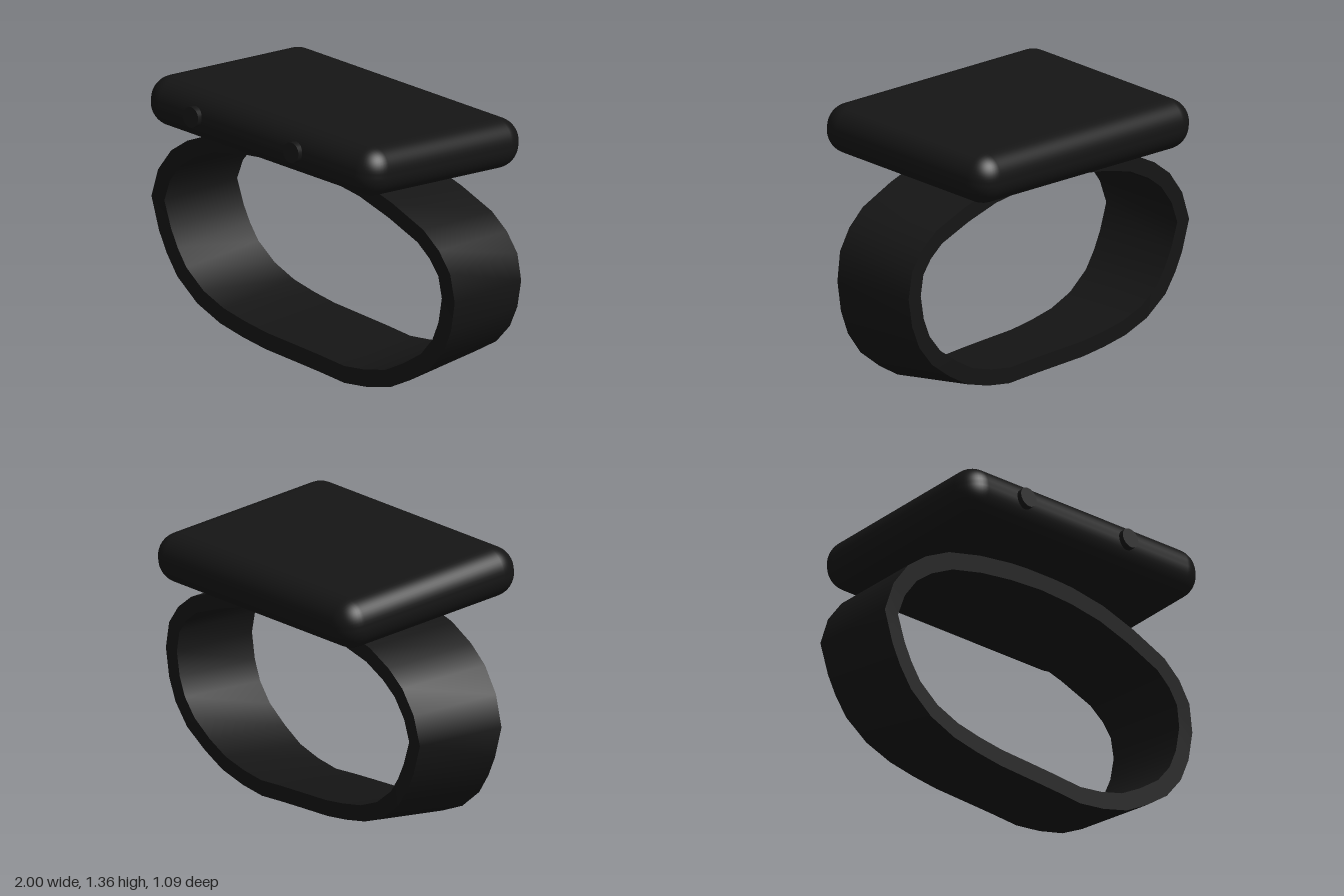
import * as THREE from 'three';
import { mergeGeometries } from 'three/addons/utils/BufferGeometryUtils.js';
import { RoundedBoxGeometry } from 'three/addons/geometries/RoundedBoxGeometry.js';

const material = new THREE.MeshStandardMaterial({ color: 0x151515 });

// Outer outline of the strap's front edge, clockwise from its right end
const OUTLINE = [
  [-1, 0.6], [-0.95, 0.75], [-0.86, 0.87], [-0.75, 0.95], [-0.6, 1.02], [-0.4, 1.065],
  [-0.2, 1.09], [0, 1.1], [0.2, 1.09], [0.4, 1.06], [0.6, 1.0], [0.8, 0.92],
  [0.9, 0.84], [0.97, 0.74], [0.995, 0.6], [0.97, 0.45], [0.92, 0.33], [0.83, 0.22],
  [0.7, 0.13], [0.57, 0.06], [0.42, 0.02], [0.27, 0.0], [0.1, 0.012], [-0.05, 0.02],
  [-0.25, 0.03], [-0.4, 0.05], [-0.55, 0.08], [-0.7, 0.14], [-0.83, 0.24], [-0.9, 0.34], [-0.95, 0.44],
];
const THICKNESS = 0.085;

// Closed ribbon of quads between two loops of equal length
function ribbon(a, b) {
  const n = a.length;
  const index = [];
  for (let i = 0; i < n; i++) {
    const j = (i + 1) % n;
    index.push(i, j, n + j, i, n + j, n + i);
  }
  const geometry = new THREE.BufferGeometry().setFromPoints([...a, ...b]);
  geometry.setIndex(index);
  geometry.computeVertexNormals();
  return geometry;
}

function createStrap() {
  const outer = OUTLINE.map(([x, y]) => new THREE.Vector2(x, y));
  const n = outer.length;
  // Inner loop: each point moved inward, square to its neighbours
  const inner = outer.map((p, i) => {
    const d = outer[(i + 1) % n].clone().sub(outer[(i + n - 1) % n]).normalize();
    return new THREE.Vector2(p.x + d.y * THICKNESS, p.y - d.x * THICKNESS);
  });
  // The back edge is slightly flatter and slanted compared with the front edge
  const front = (p) => new THREE.Vector3(p.x, p.y, 0.185 + 0.02 * Math.max(0, (p.y - 0.6) / 0.5));
  const back = (p) => new THREE.Vector3(
    p.x < 0 ? p.x * 0.975 : p.x,
    0.035 + p.y * 0.925,
    -0.272 + 0.01 * p.x + 0.015 * Math.max(0, 1 - p.y / 0.2),
  );
  const outerFront = outer.map(front), outerBack = outer.map(back);
  const innerFront = inner.map(front), innerBack = inner.map(back);
  const geometry = mergeGeometries([
    ribbon(outerFront, outerBack),
    ribbon(outerBack, innerBack),
    ribbon(innerBack, innerFront),
    ribbon(innerFront, outerFront),
  ]);
  const strap = new THREE.Mesh(geometry, material);
  strap.name = 'wristStrap';
  return strap;
}

// Tilted rounded case with two push buttons on its front side
function createCase() {
  const group = new THREE.Group();
  group.name = 'watchCase';
  const body = new THREE.Mesh(new RoundedBoxGeometry(1.52, 0.246, 1.06, 6, 0.115), material);
  body.name = 'caseBody';
  group.add(body);

  for (const [name, x] of [['rightButton', -0.41], ['leftButton', 0.25]]) {
    const button = new THREE.Mesh(new THREE.CylinderGeometry(0.05, 0.05, 0.08, 24), material);
    button.name = name;
    button.rotation.x = Math.PI / 2;
    button.position.set(x, 0, 0.515);
    group.add(button);
  }
  group.position.set(0.01, 1.195, -0.015);
  group.rotation.x = -0.11;
  return group;
}

export function createModel() {
  const model = new THREE.Group();
  model.name = 'wristwatch';
  model.add(createStrap(), createCase());
  return model;
}
